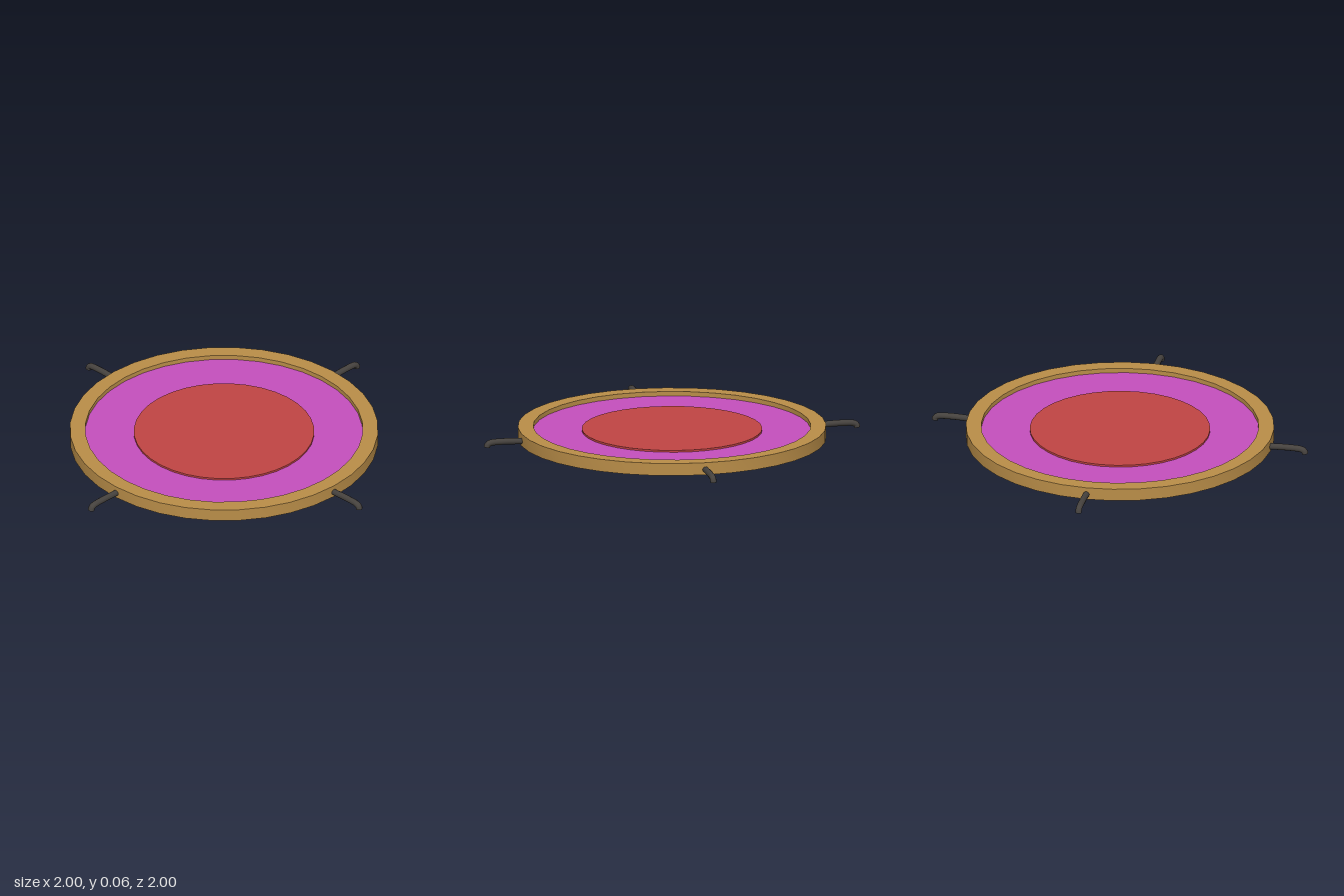
import * as THREE from 'three';
import { toCreasedNormals } from 'three/addons/utils/BufferGeometryUtils.js';

const SEGMENTS = 36;

const material = (color) => new THREE.MeshStandardMaterial({ color });

function addMesh(parent, name, geometry, mat) {
  const mesh = new THREE.Mesh(geometry, mat);
  mesh.name = name;
  parent.add(mesh);
  return mesh;
}

// Solid disc between two heights
function disc(radius, bottom, top) {
  return new THREE.CylinderGeometry(radius, radius, top - bottom, SEGMENTS)
    .translate(0, (bottom + top) / 2, 0);
}

export function createModel() {
  const model = new THREE.Group();
  model.name = 'roundFrame';

  // Outer rim: closed rectangular profile turned around y
  const profile = [[0.8, 0], [0.8, 0.065], [0.72, 0.065], [0.72, 0], [0.8, 0]]
    .map(([x, y]) => new THREE.Vector2(x, y));
  const rim = toCreasedNormals(new THREE.LatheGeometry(profile, SEGMENTS), 0.6);
  addMesh(model, 'rim', rim, material(0xb98d48));

  // Thin sheet stretched inside the rim, with a thicker centre pad
  addMesh(model, 'sheet', disc(0.722, 0.037, 0.041), material(0xc44fbc));
  addMesh(model, 'centrePad', disc(0.468, 0.016, 0.051), material(0xc04443));

  // Four bent pegs around the rim, tips turned down
  const radius = 0.0165;
  const path = new THREE.CatmullRomCurve3([
    [0.77, 0.027], [0.8, 0.0275], [0.9, 0.03], [0.965, 0.026], [0.981, 0.016], [0.983, 0.004],
  ].map(([x, y]) => new THREE.Vector3(x, y, 0)));
  const pegGeometry = new THREE.TubeGeometry(path, 24, radius, 10);
  const capGeometry = new THREE.CircleGeometry(radius, 10);
  const dark = material(0x46423e);
  for (let i = 0; i < 4; i++) {
    const peg = new THREE.Group();
    peg.name = `peg${i + 1}`;
    addMesh(peg, 'pegRod', pegGeometry, dark);
    const cap = addMesh(peg, 'pegTip', capGeometry, dark);
    cap.position.copy(path.getPoint(1));
    cap.lookAt(path.getPoint(1).add(path.getTangent(1)));
    peg.rotation.y = i * Math.PI / 2;
    model.add(peg);
  }

  return model;
}
